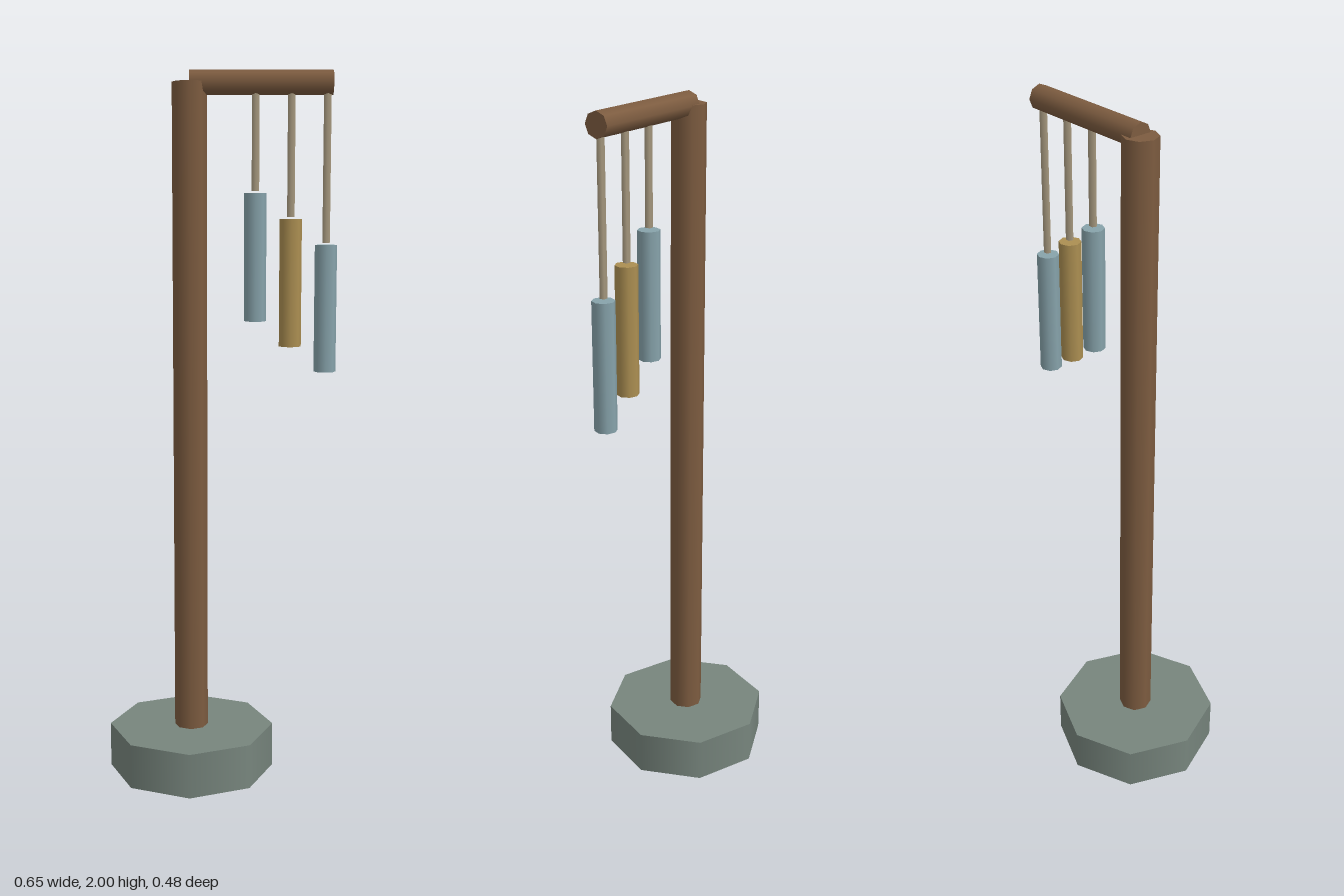
import * as THREE from 'three';

const POST_X = -0.087;

const material = (color) => new THREE.MeshStandardMaterial({ color });
const stone = material(0x77857d);
const wood = material(0x7d5c40);
const cord = material(0xa89a80);
const steel = material(0x87a3ab);
const brass = material(0xac8f52);

// Upright cylinder spanning bottom to top
function rod(name, radius, bottom, top, x, mat, sides = 8) {
  const mesh = new THREE.Mesh(new THREE.CylinderGeometry(radius, radius, top - bottom, sides), mat);
  mesh.name = name;
  mesh.position.set(x, (bottom + top) / 2, 0);
  return mesh;
}

export function createModel() {
  const model = new THREE.Group();
  model.name = 'windChimeStand';

  // Stand
  model.add(rod('base', 0.238, 0, 0.128, POST_X, stone));
  model.add(rod('post', 0.048, 0.1, 1.968, POST_X, wood));

  // Horizontal arm, starting at the post's axis
  const arm = rod('arm', 0.034, -0.197, 0.197, 0, wood);
  arm.rotation.z = Math.PI / 2;
  arm.position.set(0.11, 1.966, 0);
  model.add(arm);

  // Three tubes, each hanging lower than the one before
  for (let i = 0; i < 3; i++) {
    const x = 0.095 + i * 0.0985;
    const top = 1.668 - i * 0.071;
    const chime = new THREE.Group();
    chime.name = `chime${i + 1}`;
    chime.add(rod('string', 0.011, top + 0.006, 1.96, x, cord, 5));
    chime.add(rod('tube', 0.031, top - 0.354, top, x, i === 1 ? brass : steel));
    model.add(chime);
  }
  return model;
}
